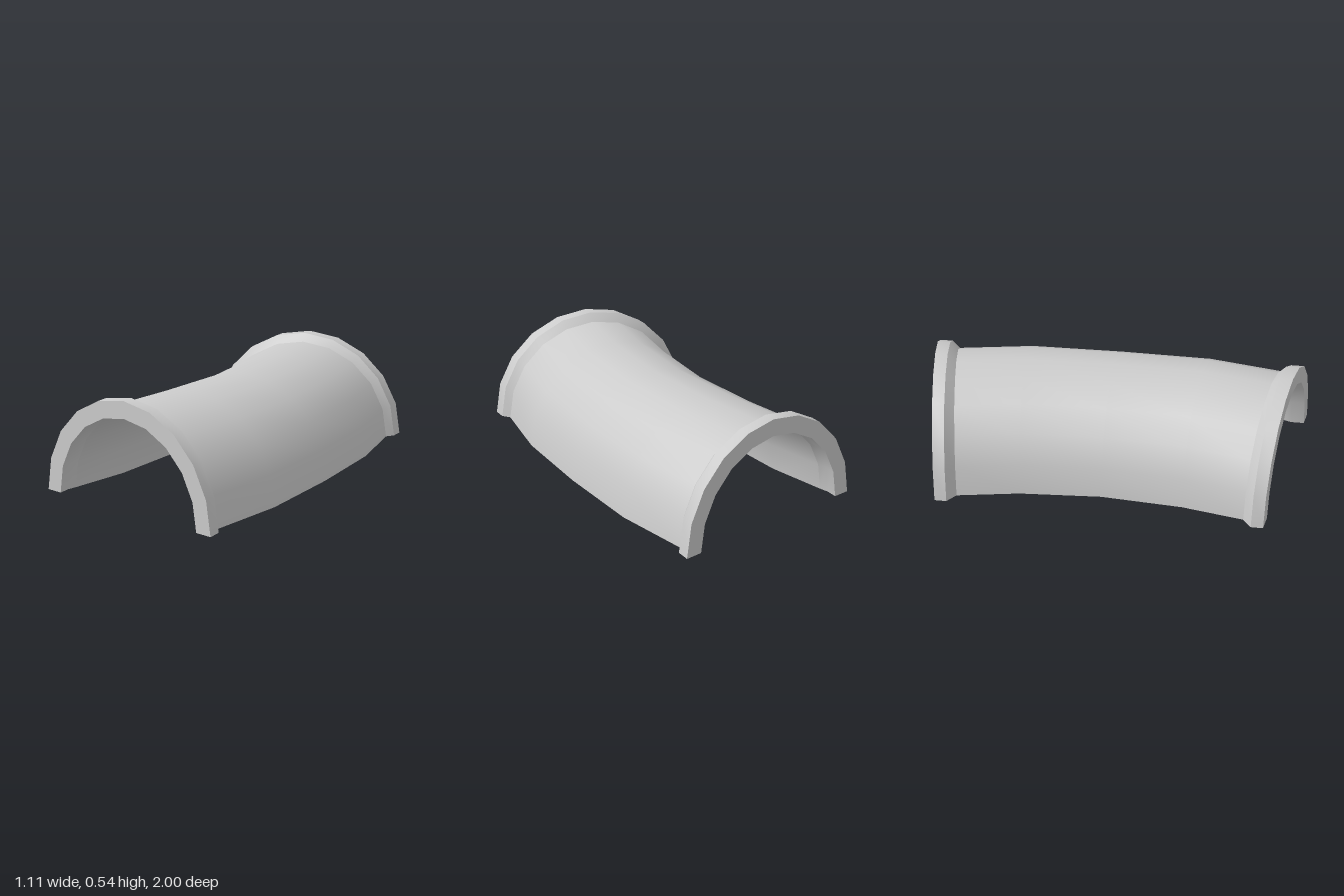
import * as THREE from 'three';
import { toCreasedNormals } from 'three/addons/utils/BufferGeometryUtils.js';

const SEGMENTS = 10; // facets around the half circle
const HEIGHT_RATIO = 1.03;

// Cross-sections from the middle to one end: centre x, centre z, slant, outer and inner radius
const section = (cx, cz, slant, outer, inner) => ({ cx, cz, slant, outer, inner });
const middle = section(0.07, 0, 0, 0.48, 0.435);
const quarter = section(0.0475, 0.45, 0.082, 0.4875, 0.44);
const neck = section(-0.0175, 0.805, 0.176, 0.4825, 0.44);
const flare = section(-0.03, 0.845, 0.162, 0.525, 0.44);
const rim = section(-0.03, 0.91, 0.171, 0.525, 0.44);
const mirror = (s) => ({ ...s, cz: -s.cz, slant: -s.slant });

// Point on a section's half ring
function ringPoint(s, j, key) {
  const a = (Math.PI * j) / SEGMENTS;
  const dx = s[key] * Math.cos(a);
  const wall = s.outer - 0.4825; // the collar stands slightly taller
  const top = key === 'outer' ? s.outer * HEIGHT_RATIO - wall * 0.05 : 0.453;
  return [s.cx + dx, j === SEGMENTS ? 0 : top * Math.sin(a), s.cz + s.slant * dx];
}

// Thick half shell through sections ordered from -z to +z
function halfShell(name, sections, material, capStart, capEnd) {
  const positions = [];
  const quad = (a, b, c, d, flip) => {
    const order = flip ? [a, d, c, a, c, b] : [a, b, c, a, c, d];
    for (const p of order) positions.push(...p);
  };
  const out = (i, j) => ringPoint(sections[i], j, 'outer');
  const inn = (i, j) => ringPoint(sections[i], j, 'inner');
  const last = sections.length - 1;

  for (let i = 0; i < last; i++) {
    // outside and inside walls
    for (let j = 0; j < SEGMENTS; j++) {
      quad(out(i, j), out(i, j + 1), out(i + 1, j + 1), out(i + 1, j), false);
      quad(inn(i, j), inn(i, j + 1), inn(i + 1, j + 1), inn(i + 1, j), true);
    }
    // flat undersides of both walls
    for (const j of [0, SEGMENTS]) {
      quad(inn(i, j), out(i, j), out(i + 1, j), inn(i + 1, j), j > 0);
    }
  }
  // end faces
  for (let j = 0; j < SEGMENTS; j++) {
    if (capEnd) quad(out(last, j), out(last, j + 1), inn(last, j + 1), inn(last, j), false);
    if (capStart) quad(out(0, j), out(0, j + 1), inn(0, j + 1), inn(0, j), true);
  }

  const geometry = new THREE.BufferGeometry();
  geometry.setAttribute('position', new THREE.Float32BufferAttribute(positions, 3));
  const mesh = new THREE.Mesh(toCreasedNormals(geometry, 0.5), material);
  mesh.name = name;
  return mesh;
}

export function createModel() {
  const group = new THREE.Group();
  group.name = 'curvedHalfPipe';
  const grey = new THREE.MeshStandardMaterial({ color: 0xcccccc });

  // Curved channel
  const channel = [mirror(neck), mirror(quarter), middle, quarter, neck];
  group.add(halfShell('channel', channel, grey, false, false));

  // Flared collars at both ends
  group.add(halfShell('frontCollar', [neck, flare, rim], grey, false, true));
  group.add(halfShell('backCollar', [rim, flare, neck].map(mirror), grey, true, false));
  return group;
}
